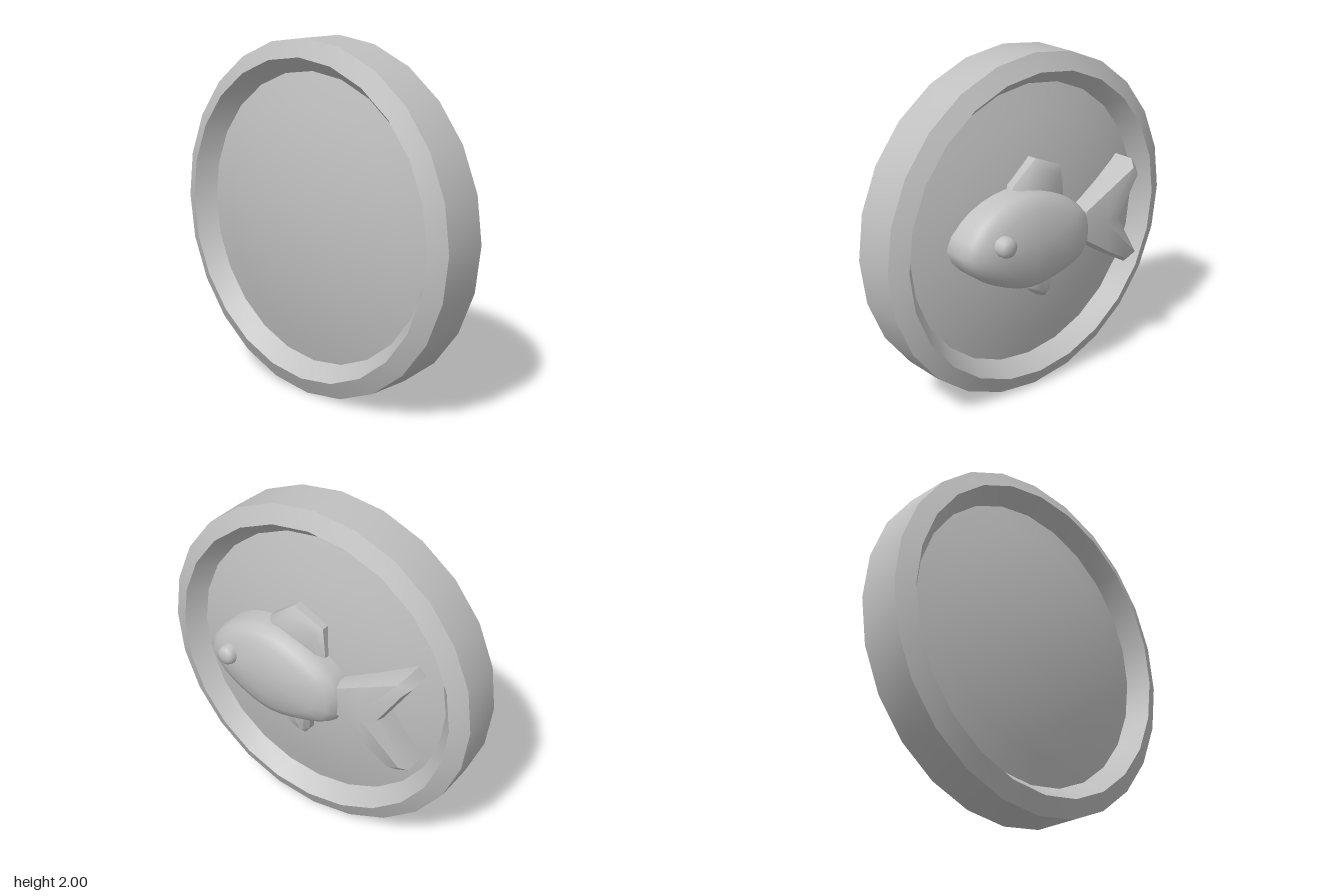
import * as THREE from 'three';
import { toCreasedNormals } from 'three/addons/utils/BufferGeometryUtils.js';

const silver = new THREE.MeshStandardMaterial({ color: 0xc0c0c0 });
silver.name = 'silver';

function part(name, geometry, crease) {
  const mesh = new THREE.Mesh(toCreasedNormals(geometry, crease), silver);
  mesh.name = name;
  return mesh;
}

// Raised shape on the back: an outline (counter-clockwise seen from +z) that
// shrinks towards a centre through [scale, z] levels and ends in an apex.
function relief(outline, [cx, cy], levels, apexZ) {
  const n = outline.length, pos = [], idx = [];
  for (const [s, z] of levels)
    for (const [x, y] of outline) pos.push(cx + (x - cx) * s, cy + (y - cy) * s, z);
  pos.push(cx, cy, apexZ);
  const apex = n * levels.length;
  for (let k = 0; k < levels.length; k++)
    for (let i = 0; i < n; i++) {
      const a = k * n + i, b = k * n + (i + 1) % n;
      if (k === levels.length - 1) idx.push(a, apex, b);
      else idx.push(a, a + n, b, b, a + n, b + n);
    }
  const g = new THREE.BufferGeometry();
  g.setAttribute('position', new THREE.Float32BufferAttribute(pos, 3));
  g.setIndex(idx);
  return g;
}

// Closed smooth outline through a few points
function smoothOutline(points, count) {
  const curve = new THREE.CatmullRomCurve3(points.map(([x, y]) => new THREE.Vector3(x, y, 0)), true);
  return curve.getSpacedPoints(count).slice(0, count).map(p => [p.x, p.y]);
}

export function createModel() {
  const model = new THREE.Group();

  // Coin: chamfered rim with a shallow dome on each face, mirrored about z = 0.11
  const half = [[0.82, 0.075], [0.9, 0.18], [1, 0.13]];
  for (let i = 4; i >= 0; i--) {
    const r = 0.82 * i / 5;
    half.unshift([r, 0.195 - 0.178 * r * r]);
  }
  half.sort((a, b) => a[0] - b[0]);
  const profile = [
    ...half.map(([r, d]) => new THREE.Vector2(r, 0.11 - d)),
    ...half.slice().reverse().map(([r, d]) => new THREE.Vector2(r, 0.11 + d)),
  ];
  const coin = part('coin', new THREE.LatheGeometry(profile, 24).rotateX(Math.PI / 2), 0.5);
  coin.position.y = 1;
  model.add(coin);

  const fish = new THREE.Group();
  fish.name = 'fish';
  model.add(fish);

  // Body
  const body = smoothOutline([
    [0.62, 1.03], [0.56, 1.14], [0.42, 1.25], [0.2, 1.3], [-0.05, 1.23], [-0.25, 1.08],
    [-0.28, 0.97], [-0.25, 0.84], [0, 0.74], [0.2, 0.73], [0.43, 0.82], [0.57, 0.93],
  ], 28);
  fish.add(part('body', relief(body, [0.16, 1.02],
    [[1, 0.07], [1, -0.135], [0.96, -0.18], [0.87, -0.215], [0.7, -0.243], [0.4, -0.268]], -0.277), 1));

  // Tail
  fish.add(part('tail', relief([
    [-0.24, 1.08], [-0.45, 1.18], [-0.66, 1.28], [-0.7, 1.22], [-0.53, 0.96],
    [-0.7, 0.67], [-0.62, 0.64], [-0.45, 0.74], [-0.24, 0.88],
  ], [-0.4, 0.97], [[1, 0.07], [1, -0.12], [0.88, -0.17]], -0.195), 0.8));

  // Fins
  const finLevels = [[1, 0.07], [1, -0.105], [0.8, -0.14]];
  fish.add(part('dorsalFin', relief(
    [[0.27, 1.15], [0.23, 1.32], [0.07, 1.445], [-0.12, 1.36], [-0.14, 1.15]],
    [0.06, 1.2], finLevels, -0.155), 0.8));
  fish.add(part('bellyFin', relief(
    [[0.17, 0.85], [-0.04, 0.85], [-0.03, 0.64], [0, 0.605], [0.06, 0.63], [0.14, 0.69]],
    [0.07, 0.78], finLevels, -0.155), 0.8));

  // Eye: short round-ended peg
  const eyeProfile = [[0.058, 0], [0.058, 0.075], [0.05, 0.095], [0.03, 0.106], [0, 0.11]]
    .map(([r, h]) => new THREE.Vector2(r, h));
  const eye = part('eye', new THREE.LatheGeometry(eyeProfile, 16).rotateX(-Math.PI / 2), 1);
  eye.position.set(0.415, 1.075, -0.2);
  fish.add(eye);

  return model;
}
